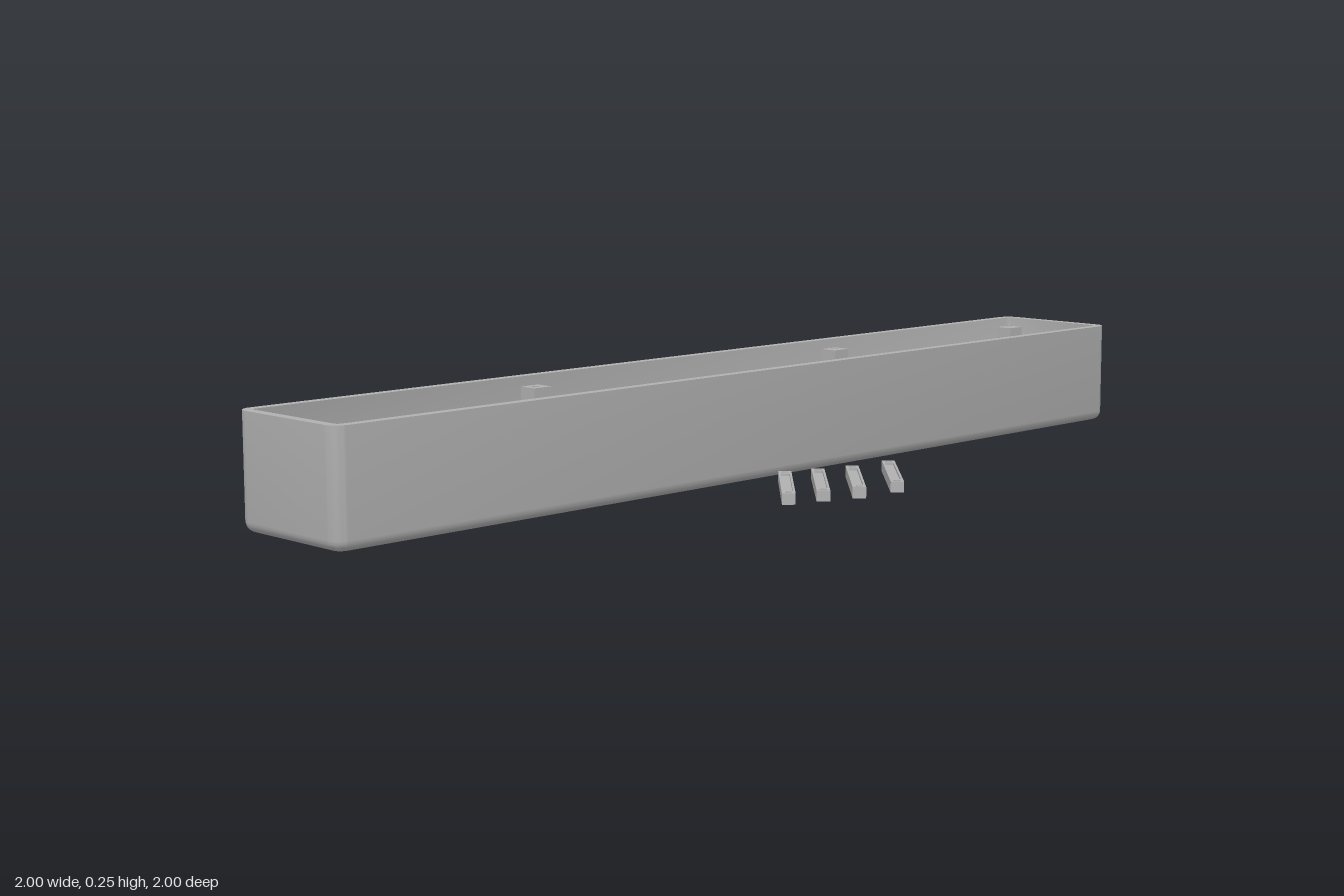
import * as THREE from 'three';
import { toCreasedNormals } from 'three/addons/utils/BufferGeometryUtils.js';

const HALF_L = 1.265, HALF_W = 0.169, HEIGHT = 0.253, FLOOR = 0.025, CORNER = 0.035;

const grey = new THREE.MeshStandardMaterial({ color: 0xb0b0b0 });
grey.name = 'grey plastic';

function add(parent, geometry, name, x = 0, y = 0, z = 0) {
  const mesh = new THREE.Mesh(geometry, grey);
  mesh.name = name;
  mesh.position.set(x, y, z);
  parent.add(mesh);
  return mesh;
}

function rect(target, x0, x1, y0, y1) {
  target.moveTo(x0, y0);
  target.lineTo(x1, y0);
  target.lineTo(x1, y1);
  target.lineTo(x0, y1);
  target.closePath();
  return target;
}

function circle(x, y, r) {
  return new THREE.Path().absarc(x, y, r, 0, Math.PI * 2, true);
}

// Horizontal plate of a given thickness, standing on its own y = 0
function plate(shape, thickness) {
  const g = new THREE.ExtrudeGeometry(shape, { depth: thickness, bevelEnabled: false, curveSegments: 8 });
  return g.rotateX(-Math.PI / 2);
}

// Rounded rectangle outline, inset from the outside of the tray
function outline(inset) {
  const r = Math.max(CORNER - inset, 0.004), n = 8, points = [];
  const cx = HALF_L - inset - r, cz = HALF_W - inset - r;
  [[1, 1], [-1, 1], [-1, -1], [1, -1]].forEach(([sx, sz], q) => {
    for (let i = 0; i <= n; i++) {
      const a = (q + i / n) * Math.PI / 2;
      points.push([sx * cx + r * Math.cos(a), sz * cz + r * Math.sin(a)]);
    }
  });
  return points;
}

// Tray wall: outlines joined along a wall section of [inset, height]
function wallGeometry() {
  const section = [[0.045, 0]];
  for (let i = 0; i <= 5; i++) {
    const a = i / 5 * Math.PI / 2;
    section.push([0.024 * (1 - Math.sin(a)), 0.024 * (1 - Math.cos(a))]);
  }
  section.push([0, HEIGHT], [0.023, HEIGHT], [0.023, 0.05], [0.03, 0.034], [0.045, FLOOR]);
  const rings = section.map(([inset, y]) => outline(inset).map(([x, z]) => [x, y, z]));
  const count = rings[0].length, positions = [];
  for (let i = 0; i < rings.length - 1; i++) {
    for (let j = 0; j < count; j++) {
      const k = (j + 1) % count;
      const a = rings[i][j], b = rings[i][k], c = rings[i + 1][k], d = rings[i + 1][j];
      positions.push(...a, ...d, ...c, ...a, ...c, ...b);
    }
  }
  const g = new THREE.BufferGeometry();
  g.setAttribute('position', new THREE.Float32BufferAttribute(positions, 3));
  return toCreasedNormals(g, 0.6);
}

// Floor with the long opening and narrow slots at the closed end
function floorGeometry() {
  const shape = new THREE.Shape(outline(0.045).map(([x, z]) => new THREE.Vector2(x, z)));
  shape.holes.push(rect(new THREE.Path(), -0.972, 1.203, -0.095, 0.098));
  for (const v of [-0.045, 0.045]) {
    for (const u of [-1.195, -1.105]) {
      shape.holes.push(rect(new THREE.Path(), u, u + 0.05, v - 0.006, v + 0.006));
    }
  }
  return plate(shape, FLOOR);
}

// Screw post: three drilled blocks in front of a thin backing strip
function addPost(parent, u, side) {
  const post = new THREE.Group();
  post.name = 'screwPost';
  post.position.set(u, 0, side * 0.125);
  const shape = rect(new THREE.Shape(), -0.025, 0.025, -0.024, 0.024);
  shape.holes.push(circle(0, 0, 0.009));
  for (const [y0, y1] of [[0.02, 0.1], [0.115, 0.165], [0.18, 0.23]]) {
    add(post, plate(shape, y1 - y0), 'postBlock', 0, y0, 0);
  }
  add(post, new THREE.BoxGeometry(0.05, 0.2, 0.01), 'postBacking', 0, 0.125, side * 0.018);
  parent.add(post);
}

// Loose clamp bar: base strip below a top layer with a shallow pocket, screw hole at each end
function addBar(parent, x, z) {
  const bar = new THREE.Group();
  bar.name = 'clampBar';
  bar.position.set(x, 0, z);
  const makeLayer = (pocket) => {
    const shape = rect(new THREE.Shape(), -0.015, 0.015, -0.1435, 0.1435);
    for (const s of [-1, 1]) shape.holes.push(circle(0, s * 0.129, 0.008));
    if (pocket) shape.holes.push(rect(new THREE.Path(), -0.01, 0.01, -0.112, 0.112));
    return shape;
  };
  add(bar, plate(makeLayer(false), 0.019), 'barBase');
  add(bar, plate(makeLayer(true), 0.006), 'barTop', 0, 0.019, 0);
  parent.add(bar);
}

export function createModel() {
  const model = new THREE.Group();
  model.name = 'trayWithBars';

  // Long tray lying diagonally
  const tray = new THREE.Group();
  tray.name = 'tray';
  tray.rotation.y = Math.PI / 4;
  model.add(tray);
  add(tray, wallGeometry(), 'trayWall');
  add(tray, floorGeometry(), 'trayFloor');

  for (const u of [-1.217, -0.5, 0.5, 1.217]) {
    for (const side of [-1, 1]) addPost(tray, u, side);
  }

  // Board holder: paired ribs at the closed end
  for (const v of [-0.045, 0.045]) {
    for (const offset of [-0.011, 0.011]) {
      for (const u of [-1.18, -1.08]) {
        add(tray, new THREE.BoxGeometry(0.085, 0.055, 0.008), 'holderRib', u, 0.05, v + offset);
      }
    }
  }
  // Small lugs on the end wall
  for (const v of [-0.03, 0.012]) {
    add(tray, new THREE.BoxGeometry(0.02, 0.05, 0.012), 'endLug', -1.234, 0.05, v);
  }

  // Four loose bars beside the tray
  for (const [x, z] of [[0.12, 0.342], [0.197, 0.306], [0.278, 0.267], [0.367, 0.197]]) addBar(model, x, z);

  return model;
}
